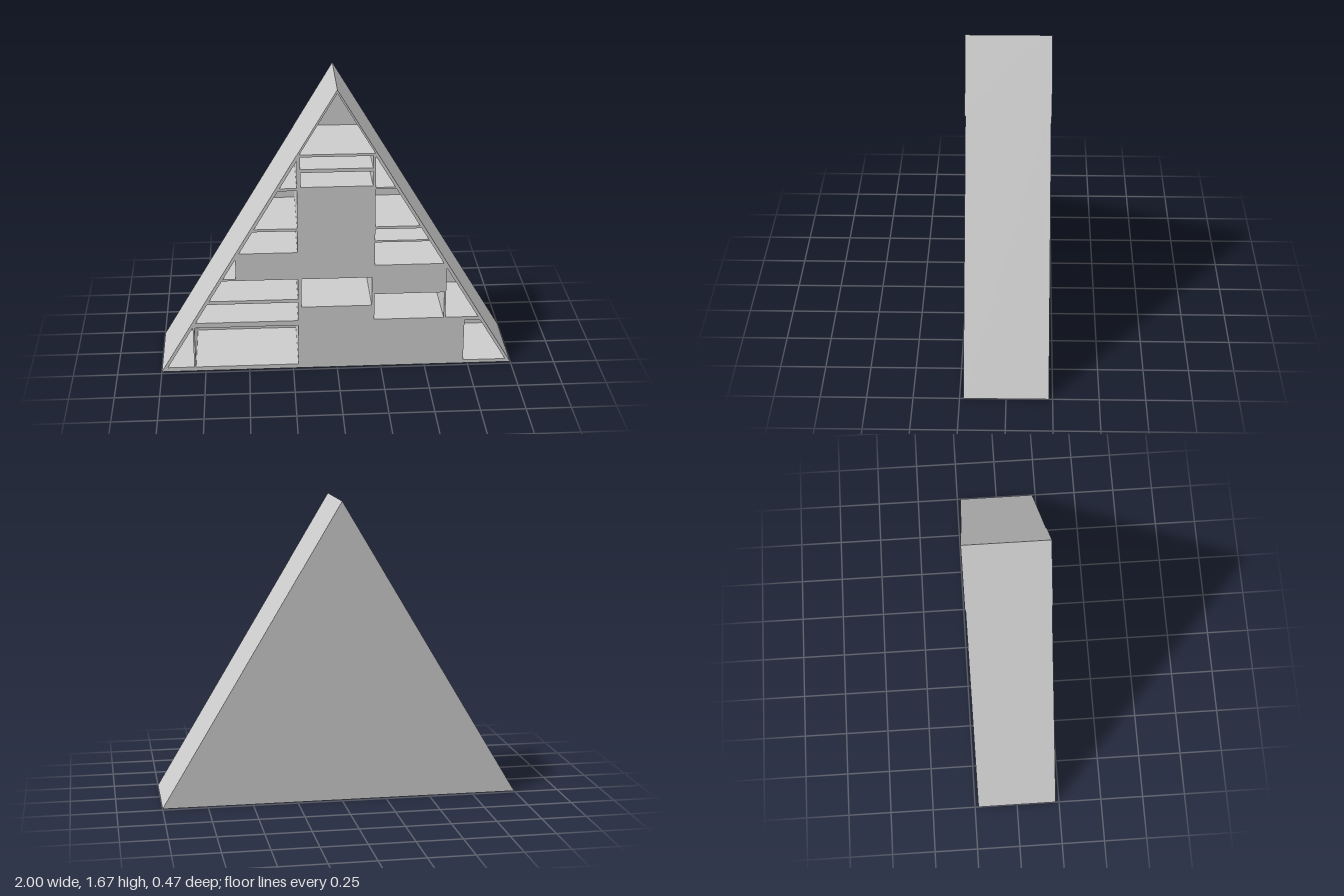
import * as THREE from 'three';

const H = 1.675, SPLIT = 1.303, WALL = 0.02, BACK = 0.02;
const outer = (y) => 1 - y / H;            // half width of the triangle at height y
const inner = (y) => outer(y) - WALL;      // half width inside the sloping boards

const points = (list) => list.map(([x, y]) => new THREE.Vector2(x, y));

// Opening between a vertical board and the sloping side; becomes a triangle near the slope
function slopedBay(side, x, y0, y1) {
  const tip = (1 - WALL - x) * H;
  const list = [[x, y0], [inner(y0), y0]];
  if (y1 < tip) list.push([inner(y1), y1], [x, y1]);
  else list.push([x, tip]);
  return list.map(([px, py]) => [side * px, py]);
}

const box = (x0, x1, y0, y1) => [[x0, y0], [x1, y0], [x1, y1], [x0, y1]];

// Compartment frame with a closed back panel
function carcass(name, outline, holes, half, material) {
  const group = new THREE.Group();
  group.name = name;
  const add = (partName, cutouts, z0, z1) => {
    const shape = new THREE.Shape(points(outline));
    shape.holes = cutouts.map((h) => new THREE.Path(points(h)));
    const geometry = new THREE.ExtrudeGeometry(shape, { depth: z1 - z0, bevelEnabled: false });
    geometry.translate(0, 0, z0);
    const mesh = new THREE.Mesh(geometry, material);
    mesh.name = partName;
    group.add(mesh);
  };
  add(name + 'Frame', holes, -half + BACK, half);
  add(name + 'BackPanel', [], -half, -half + BACK);
  return group;
}

export function createModel() {
  const model = new THREE.Group();
  model.name = 'triangularShelf';
  const material = new THREE.MeshStandardMaterial({ color: 0xcccccc });

  const holes = [
    // centre column
    box(-0.2, 0.195, 1.225, 1.295),
    box(-0.2, 0.195, 1.12, 1.205),
    box(-0.2, 0.195, 0.39, 0.565),
    // rectangular side compartments
    box(-0.805, -0.22, 0.025, 0.275),
    box(0.21, 0.605, 0.3, 0.46),
  ];
  // compartments against the slopes: side, board x, bottom, top
  for (const bay of [
    [-1, 0.22, 1.115, 1.295], [-1, 0.22, 0.875, 1.1], [-1, 0.22, 0.73, 0.86],
    [-1, 0.565, 0.575, 0.7], [-1, 0.22, 0.44, 0.565], [-1, 0.22, 0.305, 0.42],
    [-1, 0.815, 0.025, 0.275],
    [1, 0.21, 1.11, 1.295], [1, 0.21, 0.875, 1.1], [1, 0.21, 0.79, 0.86],
    [1, 0.21, 0.64, 0.78], [1, 0.615, 0.3, 0.61], [1, 0.725, 0.02, 0.28],
  ]) holes.push(slopedBay(...bay));

  // Main body
  const w = outer(SPLIT);
  model.add(carcass('body', [[-1, 0], [1, 0], [w, SPLIT], [-w, SPLIT]], holes, 0.23, material));

  // Slightly deeper triangular top compartment
  const floor = SPLIT + 0.008, gap = 0.012;
  const top = [[-outer(floor) + gap, floor], [outer(floor) - gap, floor], [0, H * (1 - gap)]];
  model.add(carcass('top', [[-w, SPLIT], [w, SPLIT], [0, H]], [top], 0.234, material));

  return model;
}
